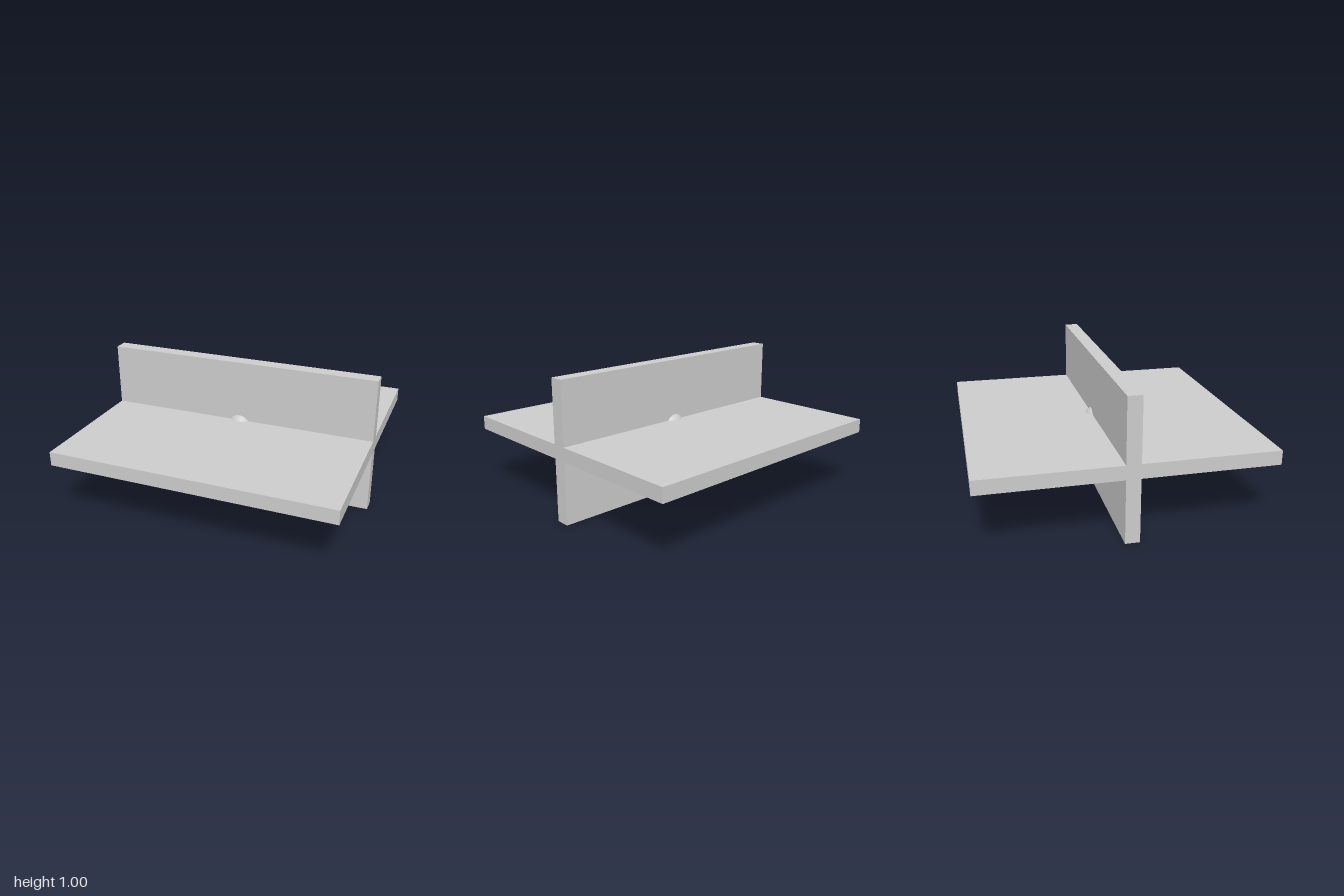
import * as THREE from 'three';

export function createModel() {
  const group = new THREE.Group();
  const material = new THREE.MeshStandardMaterial({ color: 0xcccccc });
  const length = 2, thickness = 0.1, centreY = 0.5;

  const add = (name, geometry) => {
    const mesh = new THREE.Mesh(geometry, material);
    mesh.name = name;
    mesh.position.y = centreY;
    group.add(mesh);
  };

  // Two slabs crossing along the x axis
  add('horizontalPlate', new THREE.BoxGeometry(length, thickness, 2));
  add('verticalPlate', new THREE.BoxGeometry(length, 1, thickness));

  // Ball at the crossing, bulging out of the four inner corners
  add('centreBall', new THREE.SphereGeometry(0.1, 48, 32));

  return group;
}
